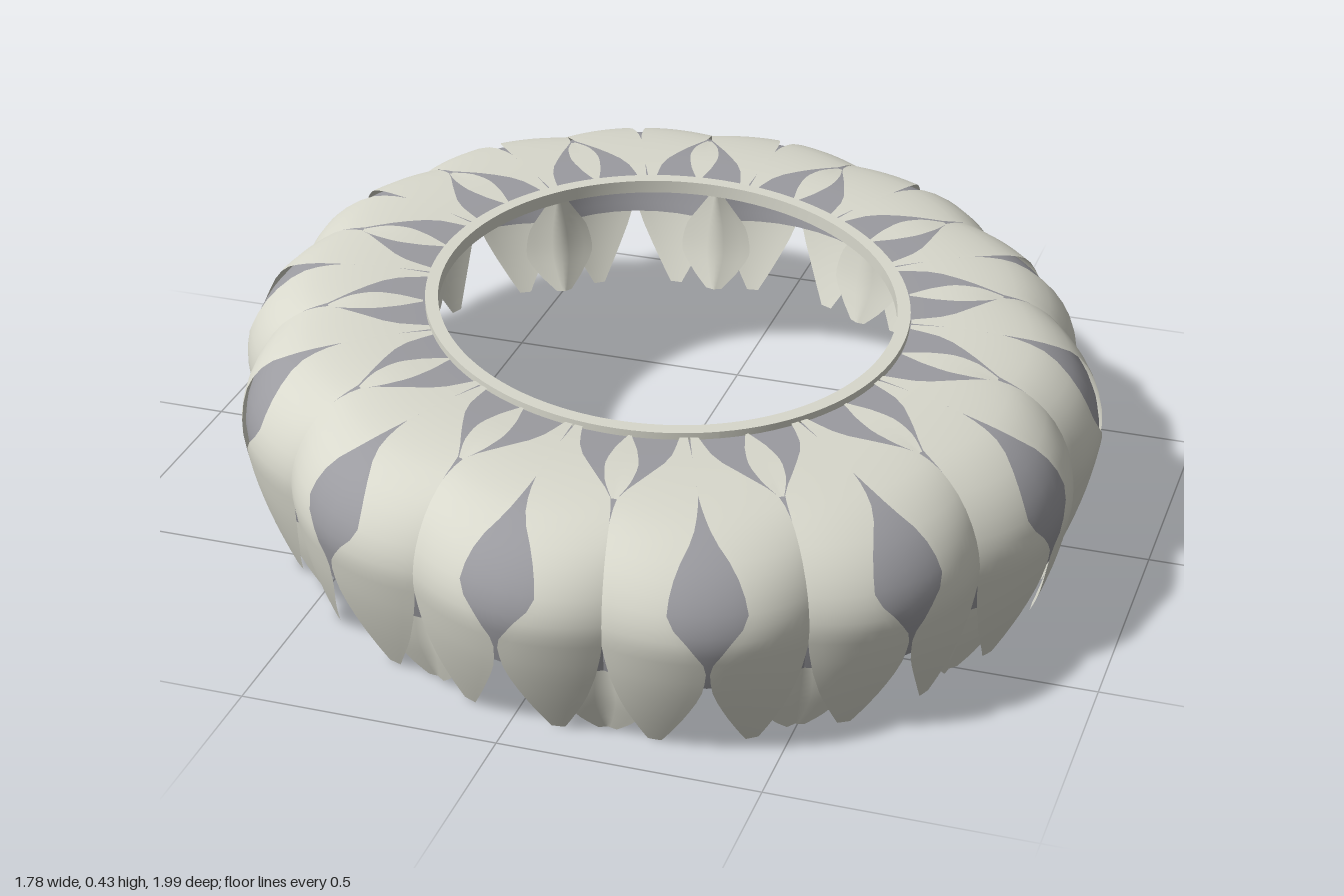
import * as THREE from 'three';
import { mergeGeometries } from 'three/addons/utils/BufferGeometryUtils.js';

const COUNT = 14;                        // scallops around the rim
const STEP = Math.PI * 2 / COUNT;
const TILT = 27.6 * Math.PI / 180;       // long axis of the oval, from +z towards +x
const LONG = 1.035, SHORT = 0.857;
const START = -32.5 * Math.PI / 180;     // first scallop centre

const petalMat = new THREE.MeshStandardMaterial({ color: 0xd8d8cc, side: THREE.DoubleSide });
petalMat.name = 'pale petal';
const shellMat = new THREE.MeshStandardMaterial({ color: 0x9b9ba0, side: THREE.DoubleSide });
shellMat.name = 'grey shell';

// Oval position: radius 0..1, height, angle round the oval
function oval(r, y, t) {
  const l = LONG * r * Math.cos(t), s = SHORT * r * Math.sin(t);
  return new THREE.Vector3(l * Math.sin(TILT) + s * Math.cos(TILT), y, l * Math.cos(TILT) - s * Math.sin(TILT));
}

// Scalloped position: u = 0 at a bulge centre, +-1 at the notches beside it
function scalloped(r, y, k, u) {
  const fade = Math.pow(Math.max(0, (r - 0.555) / 0.445), 1.5);
  const w = Math.abs(u) > 1 ? 2 - Math.abs(u) : u;
  return oval(r + fade * (0.004 - 0.043 * w * w), y, START + (k + u / 2) * STEP);
}

// Grid surface from point(v, w), v and w in 0..1
function patch(nv, nw, point) {
  const pos = [], index = [];
  for (let i = 0; i <= nv; i++) {
    for (let j = 0; j <= nw; j++) {
      pos.push(...point(i / nv, j / nw).toArray());
      if (i < nv && j < nw) {
        const a = i * (nw + 1) + j, b = a + nw + 1;
        index.push(a, b, a + 1, b, b + 1, a + 1);
      }
    }
  }
  const g = new THREE.BufferGeometry();
  g.setAttribute('position', new THREE.Float32BufferAttribute(pos, 3));
  g.setIndex(index);
  g.computeVertexNormals();
  return g;
}

const curve = (pts) => new THREE.CatmullRomCurve3(pts.map(([a, b]) => new THREE.Vector3(a, b, 0)));

// Leaf-like strip: rows of [radius, height, edge, edge]; side -1 mirrors it
function leaf(rows, k, side, nv = 28) {
  const profile = curve(rows.map((r) => [r[0], r[1]]));
  const edges = curve(rows.map((r) => [r[2], r[3]]));
  return patch(nv, 8, (v, w) => {
    const p = profile.getPoint(v), e = edges.getPoint(v);
    const u = side > 0 ? e.x + (e.y - e.x) * w : -(e.y + (e.x - e.y) * w);
    return scalloped(p.x, p.y, k, u);
  });
}

const outerRows = [
  [0.562, 0.424, 0.02, 0.16], [0.64, 0.426, 0.0, 0.32], [0.72, 0.425, 0.0, 0.68],
  [0.80, 0.418, 0.02, 0.96], [0.87, 0.402, 0.1, 1.0], [0.94, 0.362, 0.3, 1.0],
  [0.985, 0.305, 0.38, 1.0], [1.0, 0.25, 0.17, 1.0], [0.992, 0.20, 0.02, 0.99],
  [0.978, 0.145, 0.05, 0.93], [0.957, 0.085, 0.18, 0.82], [0.936, 0.035, 0.32, 0.68],
  [0.92, 0.0, 0.43, 0.57],
];
const sliverRows = [
  [0.565, 0.424, 0.97, 1.03], [0.62, 0.426, 0.83, 1.17], [0.68, 0.427, 0.77, 1.23],
  [0.74, 0.424, 0.83, 1.17], [0.80, 0.416, 0.97, 1.03],
];
const innerRows = [
  [0.972, 0.23, 0.98, 1.02], [0.968, 0.18, 0.8, 1.2], [0.96, 0.13, 0.62, 1.38],
  [0.948, 0.08, 0.57, 1.43], [0.93, 0.03, 0.73, 1.27], [0.918, 0.0, 0.9, 1.1],
];
const shellRows = [
  [0.55, 0.418], [0.64, 0.419], [0.72, 0.418], [0.80, 0.410], [0.865, 0.394],
  [0.932, 0.356], [0.976, 0.303], [0.991, 0.25], [0.983, 0.20], [0.97, 0.15],
].map(([r, y]) => [r, y, -1, 1]);

export function createModel() {
  const group = new THREE.Group();
  const outer = [], slivers = [], inner = [], shell = [];
  for (let k = 0; k < COUNT; k++) {
    outer.push(leaf(outerRows, k, 1), leaf(outerRows, k, -1));
    slivers.push(leaf(sliverRows, k, 1, 12));
    inner.push(leaf(innerRows, k, 1, 16));
    shell.push(leaf(shellRows, k, 1, 24));
  }
  const add = (name, geometry, material) => {
    const mesh = new THREE.Mesh(geometry, material);
    mesh.name = name;
    group.add(mesh);
  };
  add('shell', mergeGeometries(shell), shellMat);
  add('outerPetals', mergeGeometries(outer), petalMat);
  add('innerPetals', mergeGeometries(inner), petalMat);
  add('topLeaflets', mergeGeometries(slivers), petalMat);

  // Rim round the opening: four flat faces so the edges stay sharp
  const corners = [[0.53, 0.405], [0.53, 0.432], [0.56, 0.432], [0.56, 0.405], [0.53, 0.405]];
  const faces = corners.slice(1).map(([r, y], i) => patch(1, 112, (v, w) => oval(
    THREE.MathUtils.lerp(corners[i][0], r, v),
    THREE.MathUtils.lerp(corners[i][1], y, v),
    w * Math.PI * 2)));
  add('openingRim', mergeGeometries(faces), petalMat);
  return group;
}
